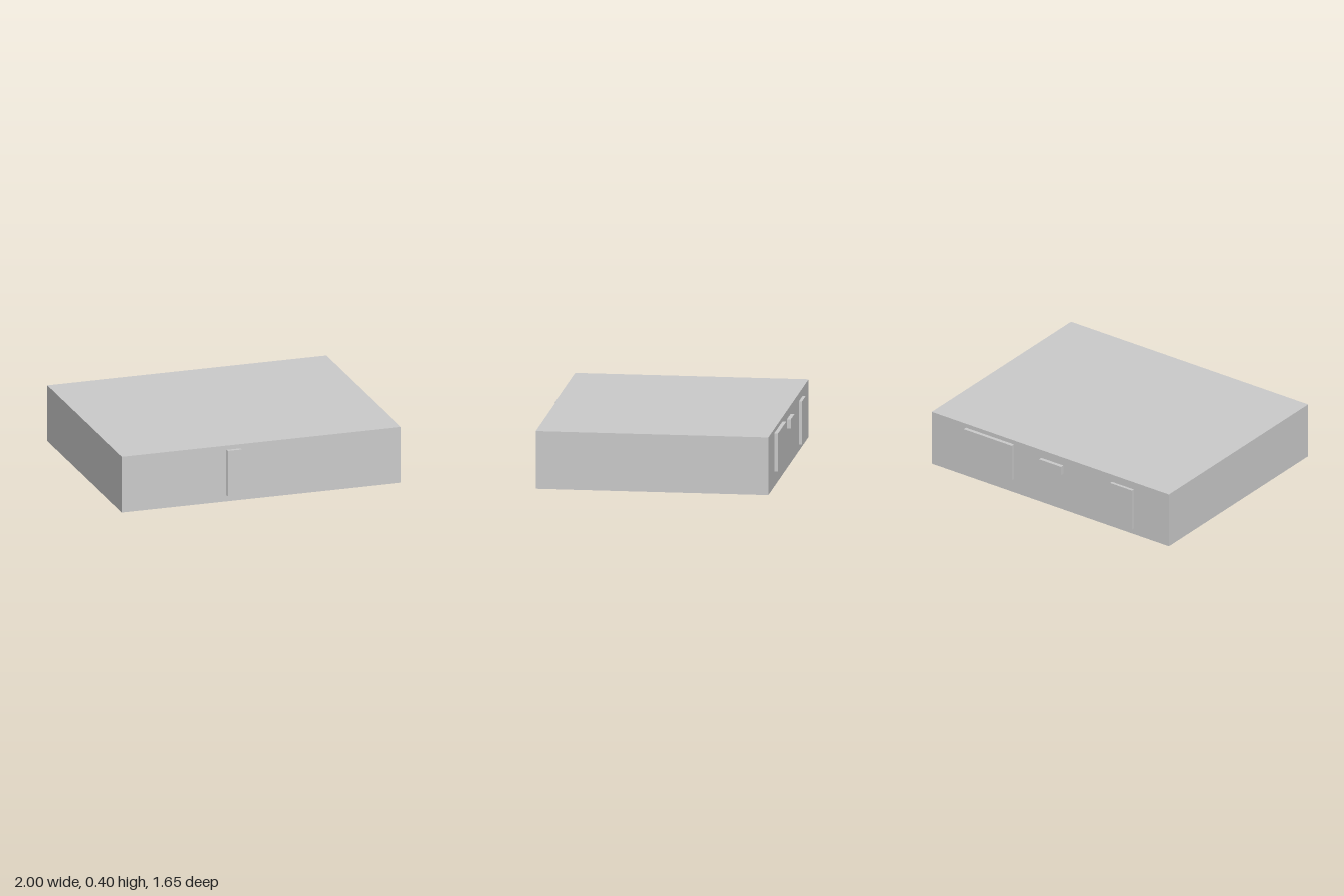
import * as THREE from 'three';

const material = new THREE.MeshStandardMaterial({ color: 0xcccccc, flatShading: true });

// Box given by its lower and upper limits on each axis
function block(name, [x0, x1], [y0, y1], [z0, z1]) {
  const mesh = new THREE.Mesh(new THREE.BoxGeometry(x1 - x0, y1 - y0, z1 - z0), material);
  mesh.position.set((x0 + x1) / 2, (y0 + y1) / 2, (z0 + z1) / 2);
  mesh.name = name;
  return mesh;
}

export function createModel() {
  const model = new THREE.Group();
  model.name = 'building';
  const wall = 0.8;

  // Main flat-roofed body
  model.add(block('body', [-1, 1], [0, 0.4], [-wall, wall]));

  // Narrow raised panel on the front wall
  model.add(block('frontPanel', [-0.25, -0.15], [0.045, 0.37], [wall, wall + 0.026]));

  // Raised panels on the back wall
  model.add(block('wideBackPanel', [0.305, 0.711], [0.105, 0.37], [-wall - 0.026, -wall]));
  model.add(block('smallBackPanel', [-0.109, 0.076], [0.277, 0.34], [-wall - 0.026, -wall]));
  model.add(block('tallBackPanel', [-0.705, -0.519], [0.045, 0.345], [-wall - 0.021, -wall]));

  return model;
}
